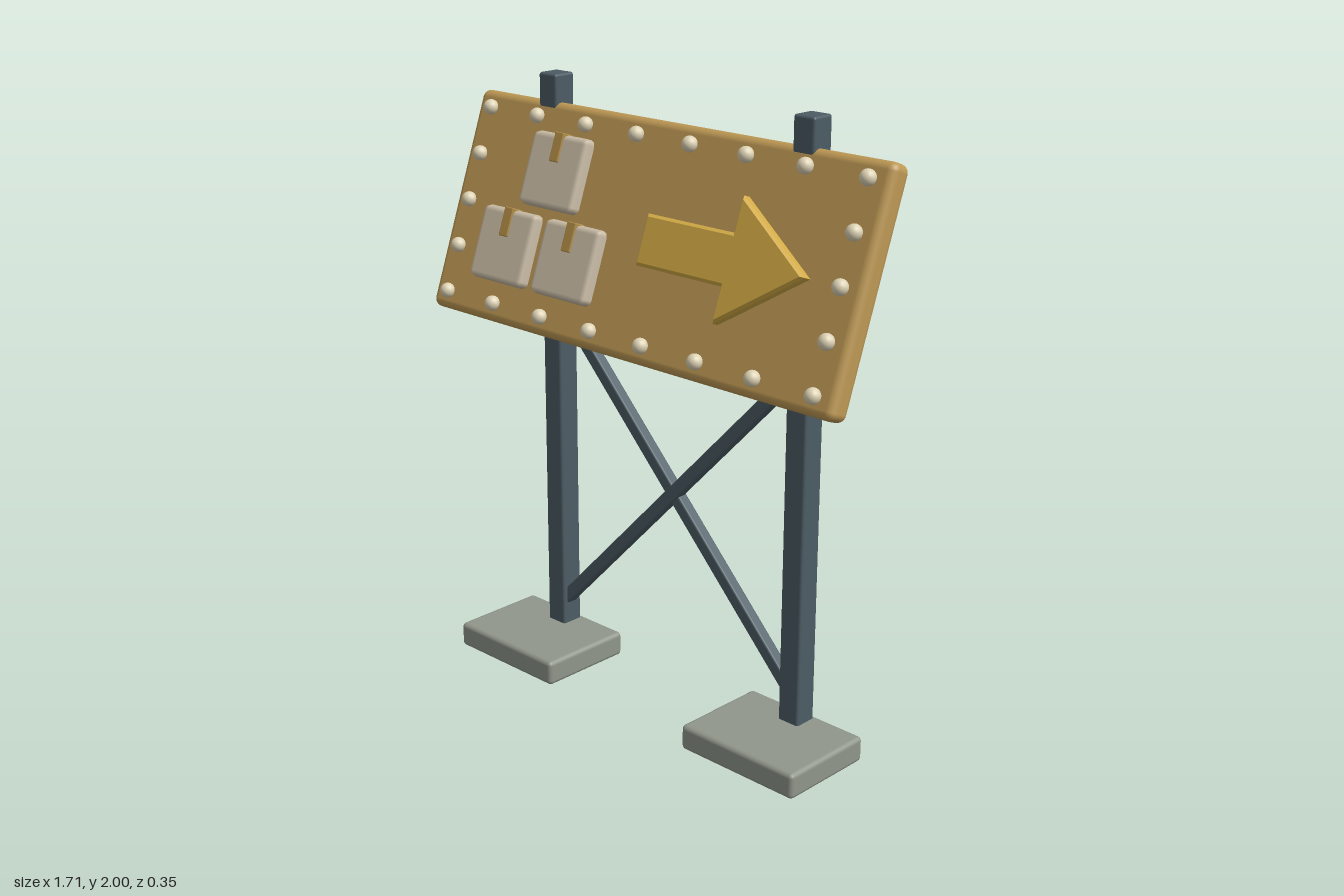
import * as THREE from 'three';
import { RoundedBoxGeometry } from 'three/addons/geometries/RoundedBoxGeometry.js';

const mat = (color) => new THREE.MeshStandardMaterial({ color });
const steel = mat(0x4c5c64), stone = mat(0x90968b), wood = mat(0xbd9854);
const carton = mat(0xcabda6), tape = mat(0xb08c45), gold = mat(0xd2aa45), brass = mat(0xddd2b4);

function add(parent, name, geometry, material, x = 0, y = 0, z = 0) {
  const mesh = new THREE.Mesh(geometry, material);
  mesh.name = name;
  mesh.position.set(x, y, z);
  parent.add(mesh);
  return mesh;
}

const block = (w, h, d, r, segments = 2) => new RoundedBoxGeometry(w, h, d, segments, r);

function createFrame() {
  const frame = new THREE.Group();
  frame.name = 'frame';
  const postZ = -0.12;
  for (const [side, s] of [['left', 1], ['right', -1]]) {
    add(frame, side + 'Foot', block(0.455, 0.085, 0.34, 0.015), stone, s * 0.528, 0.0425, -0.005);
    add(frame, side + 'Post', block(0.08, 1.925, 0.08, 0.009), steel, s * 0.53, 1.0375, postZ);
    // Diagonal brace rising towards this side
    const brace = add(frame, side + 'Brace', block(1.46, 0.045, 0.04, 0.007), steel, 0, 0.7, postZ + s * 0.004);
    brace.rotation.z = s * Math.atan2(1.04, 1);
  }
  add(frame, 'crossbar', block(1.14, 0.06, 0.056, 0.007), steel, 0, 1.275, -0.117);
  return frame;
}

function createArrow() {
  const bevel = 0.01;
  const shape = new THREE.Shape([
    [0.04, -0.07], [0.385, -0.07], [0.385, -0.178], [0.652, 0],
    [0.385, 0.178], [0.385, 0.07], [0.04, 0.07],
  ].map(([x, y]) => new THREE.Vector2(x, y)));
  return new THREE.ExtrudeGeometry(shape, {
    depth: 0.028, bevelEnabled: true, bevelSize: bevel, bevelThickness: bevel, bevelSegments: 1,
  });
}

function createSign() {
  const sign = new THREE.Group();
  sign.name = 'sign';
  add(sign, 'board', block(1.71, 0.735, 0.08, 0.027, 3), wood);
  add(sign, 'arrow', createArrow(), gold, 0, 0.002, 0.036);

  // Three stacked cartons, each with a strip of tape on the top edge
  for (const [x, y] of [[-0.408, 0.145], [-0.553, -0.12], [-0.263, -0.12]]) {
    const box = new THREE.Group();
    box.name = 'carton';
    box.position.set(x, y, 0.045);
    add(box, 'cartonBody', block(0.25, 0.24, 0.06, 0.02, 1), carton);
    add(box, 'cartonTape', block(0.04, 0.095, 0.05, 0.004, 1), tape, 0, 0.076, 0.01);
    sign.add(box);
  }

  // Rivets around the rim
  const rivet = new THREE.SphereGeometry(0.025, 16, 12);
  const columns = 8, rows = 5;
  for (let i = 0; i < columns; i++) {
    for (let j = 0; j < rows; j++) {
      const onRim = i === 0 || i === columns - 1 || j === 0 || j === rows - 1;
      if (!onRim) continue;
      const x = -0.78 + (1.56 * i) / (columns - 1);
      const y = -0.309 + (0.618 * j) / (rows - 1);
      add(sign, 'rivet', rivet, brass, x, y, 0.05);
    }
  }

  // The sign leans back against the posts
  sign.position.y = 1.557;
  sign.rotation.x = THREE.MathUtils.degToRad(-20);
  return sign;
}

export function createModel() {
  const model = new THREE.Group();
  model.name = 'signpost';
  model.add(createFrame(), createSign());
  return model;
}
